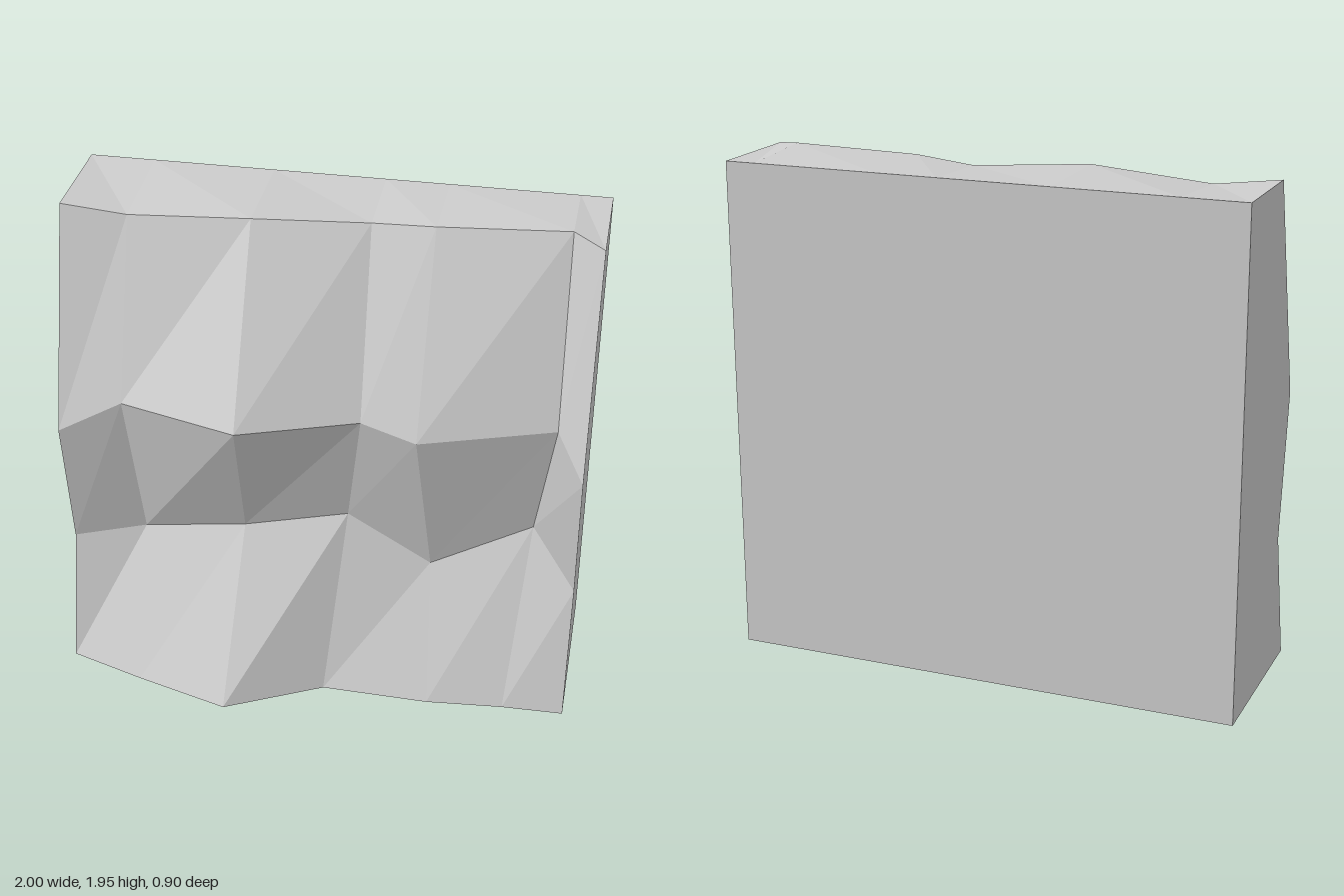
import * as THREE from 'three';

const BACK = -0.45, TOP = 1.93;

// Front relief: rows from foot to rim, each point [x, y, z]
const rows = [
  [[-1, 0, 0.24], [-0.7, 0, 0.34], [-0.33, 0, 0.45], [0.04, 0, 0.26], [0.46, 0, 0.27], [0.76, 0, 0.245], [1, 0, 0.24]],
  [[-1, 0.52, 0.115], [-0.72, 0.56, 0.05], [-0.3, 0.66, 0.105], [0.1, 0.725, 0.05], [0.43, 0.53, 0.05], [0.82, 0.725, 0.005], [1, 0.52, 0.115]],
  [[-1, 1.08, 0.205], [-0.75, 1.22, 0.185], [-0.28, 1.235, 0.34], [0.165, 1.235, 0.175], [0.38, 1.19, 0.21], [0.89, 1.235, 0.1], [1, 1.08, 0.205]],
  [[-1, TOP, -0.03], [-0.75, 1.9, -0.045], [-0.28, 1.935, -0.03], [0.15, 1.915, -0.115], [0.39, 1.935, -0.09], [0.88, 1.95, -0.115], [1, TOP, -0.03]],
];

// Faceted strips between neighbouring rows; flip picks the other diagonal
function gridGeometry(grid, flip = false) {
  const pos = [];
  for (let r = 0; r < grid.length - 1; r++) {
    for (let c = 0; c < grid[r].length - 1; c++) {
      const a = grid[r][c], b = grid[r][c + 1], d = grid[r + 1][c], e = grid[r + 1][c + 1];
      const corners = flip ? [a, b, d, b, e, d] : [a, b, e, a, e, d];
      for (const p of corners) pos.push(...p);
    }
  }
  const geometry = new THREE.BufferGeometry();
  geometry.setAttribute('position', new THREE.Float32BufferAttribute(pos, 3));
  geometry.computeVertexNormals();
  return geometry;
}

export function createModel() {
  const group = new THREE.Group();
  group.name = 'rockWallBlock';
  const stone = new THREE.MeshStandardMaterial({ color: 0xcccccc });
  stone.name = 'stoneGrey';
  stone.flatShading = true;

  const add = (name, grid, flip) => {
    const mesh = new THREE.Mesh(gridGeometry(grid, flip), stone);
    mesh.name = name;
    group.add(mesh);
  };
  const foot = rows[0], rim = rows[3];
  const toBack = ([x, y]) => [x, y, BACK];

  // Craggy front face with ledge and groove
  add('cragFace', rows);

  // Uneven top and flat underside
  add('topFace', [rim, rim.map(([x]) => [x, TOP, BACK])], true);
  add('underside', [foot.map(toBack), foot]);

  // Flat sides following the face profile
  const left = rows.map((row) => row[6]);
  const right = rows.map((row) => row[0]);
  add('leftSide', [left.map(toBack), left]);
  add('rightSide', [right, right.map(toBack)]);

  // Flat back
  add('backFace', [[[1, 0, BACK], [-1, 0, BACK]], [[1, TOP, BACK], [-1, TOP, BACK]]]);
  return group;
}
